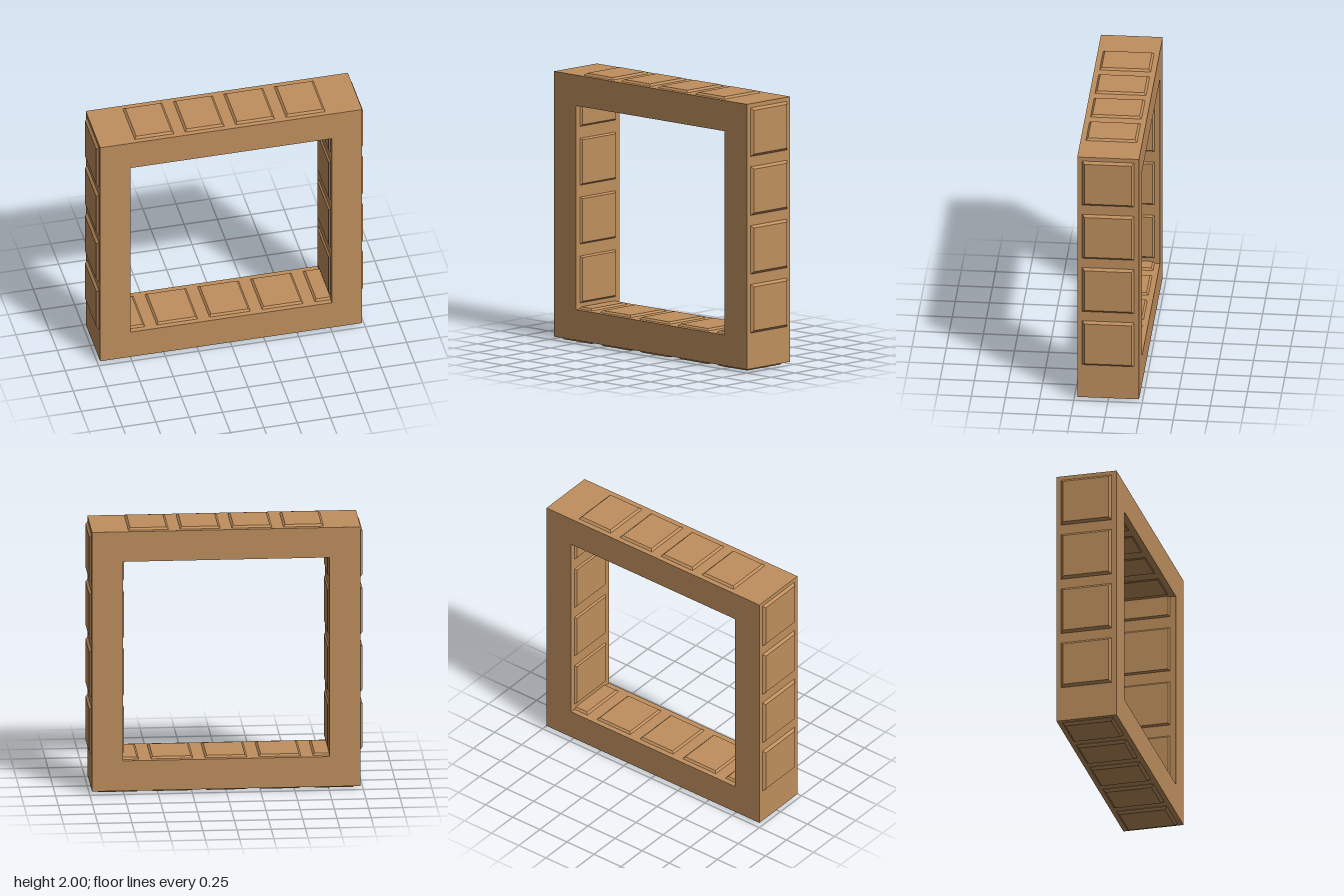
import * as THREE from 'three';

const wood = new THREE.MeshStandardMaterial({ color: 0xbf8f5d });
wood.name = 'tan stone';

// Block along y whose two ends are bevelled
function bevelledBlock(width, length, depth, bevel = 0.018) {
  const box = new THREE.BoxGeometry(width, length, depth, 1, 3, 1);
  const p = box.attributes.position;
  for (let i = 0; i < p.count; i++) {
    const y = p.getY(i);
    if (Math.abs(y) > length / 2 - 1e-4) {
      p.setX(i, p.getX(i) - Math.sign(p.getX(i)) * bevel);
      p.setZ(i, p.getZ(i) - Math.sign(p.getZ(i)) * bevel);
    } else {
      p.setY(i, Math.sign(y) * (length / 2 - bevel));
    }
  }
  const flat = box.toNonIndexed();
  flat.computeVertexNormals();
  return flat;
}

export function createModel() {
  const model = new THREE.Group();
  model.name = 'blockFrame';
  const add = (name, geometry, x, y) => {
    const mesh = new THREE.Mesh(geometry, wood);
    mesh.name = name;
    mesh.position.set(x, y, 0);
    model.add(mesh);
  };

  // Square frame with a square opening
  const outer = 0.982, inner = 0.755, halfDepth = 0.226;
  const square = (Type, r) => new Type([
    new THREE.Vector2(-r, -r), new THREE.Vector2(r, -r),
    new THREE.Vector2(r, r), new THREE.Vector2(-r, r),
  ]);
  const shape = square(THREE.Shape, outer);
  shape.holes.push(square(THREE.Path, inner));
  const frame = new THREE.ExtrudeGeometry(shape, { depth: halfDepth * 2, bevelEnabled: false });
  frame.translate(0, 0, -halfDepth);
  add('frame', frame, 0, 1.003);

  // Raised blocks run through each bar and stand proud on both sides
  const length = 0.257, mid = 0.8715, depth = 0.38;

  const topBlock = bevelledBlock(0.3, length - 0.008, depth);
  for (const x of [-0.567, -0.189, 0.189, 0.567]) add('topBlock', topBlock, x, 1.8755);

  const bottomBlock = bevelledBlock(0.315, length + 0.005, depth);
  for (let i = -2; i <= 2; i++) add('bottomBlock', bottomBlock, i * 0.395, 0.131);

  const sideBlock = bevelledBlock(0.36, length, depth).rotateZ(Math.PI / 2);
  for (const side of [-1, 1]) {
    for (let i = 0; i < 4; i++) {
      add(side > 0 ? 'leftBlock' : 'rightBlock', sideBlock, side * mid, 0.466 + i * 0.436);
    }
  }
  return model;
}
